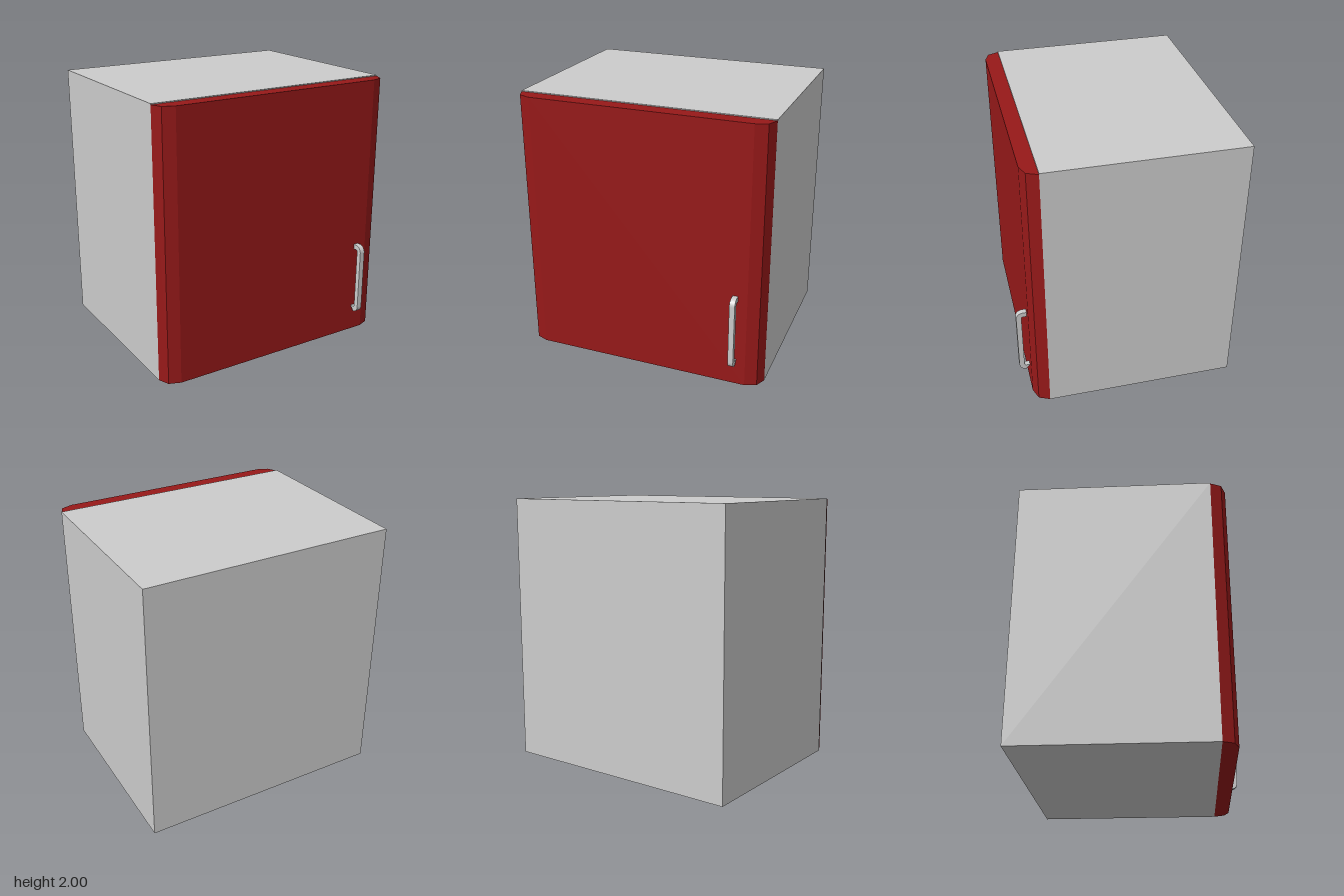
import * as THREE from 'three';

const grey = new THREE.MeshStandardMaterial({ color: 0xcccccc, flatShading: true });
const red = new THREE.MeshStandardMaterial({ color: 0x971919, flatShading: true });

function addPart(group, name, geometry, material) {
  const mesh = new THREE.Mesh(geometry, material);
  mesh.name = name;
  group.add(mesh);
}

export function createModel() {
  const group = new THREE.Group();
  group.name = 'wallCabinet';

  // Plain box carcass
  const carcass = new THREE.BoxGeometry(1.88, 2, 1.41);
  carcass.translate(0, 1, -0.095);
  addPart(group, 'carcass', carcass, grey);

  // Door: plan outline with two-step chamfers on the vertical edges, extruded upward
  const half = [[0.94, 0.61], [0.905, 0.69], [0.82, 0.722]];
  const plan = [...half, ...half.map(([x, z]) => [-x, z]).reverse()];
  const doorShape = new THREE.Shape(plan.map(([x, z]) => new THREE.Vector2(x, -z)));
  const door = new THREE.ExtrudeGeometry(doorShape, { depth: 1.993, bevelEnabled: false });
  door.rotateX(-Math.PI / 2);
  addPart(group, 'door', door, red);

  // Handle: U-shaped side profile (z, y) with rounded corners, extruded across x
  const base = 0.72, front = 0.8, low = 0.17, high = 0.727, bar = 0.038;
  const outerR = 0.05, innerR = 0.012;
  const [inFront, inLow, inHigh] = [front - bar, low + bar, high - bar];
  const profile = new THREE.Shape();
  profile.moveTo(base, low);
  profile.absarc(front - outerR, low + outerR, outerR, -Math.PI / 2, 0, false);
  profile.absarc(front - outerR, high - outerR, outerR, 0, Math.PI / 2, false);
  profile.lineTo(base, high);
  profile.lineTo(base, inHigh);
  profile.absarc(inFront - innerR, inHigh - innerR, innerR, Math.PI / 2, 0, true);
  profile.absarc(inFront - innerR, inLow + innerR, innerR, 0, -Math.PI / 2, true);
  profile.lineTo(base, inLow);
  profile.closePath();
  const handle = new THREE.ExtrudeGeometry(profile, { depth: 0.04, bevelEnabled: false, curveSegments: 5 });
  handle.rotateY(-Math.PI / 2);
  handle.translate(0.752, 0, 0);
  addPart(group, 'handle', handle, grey);

  return group;
}
